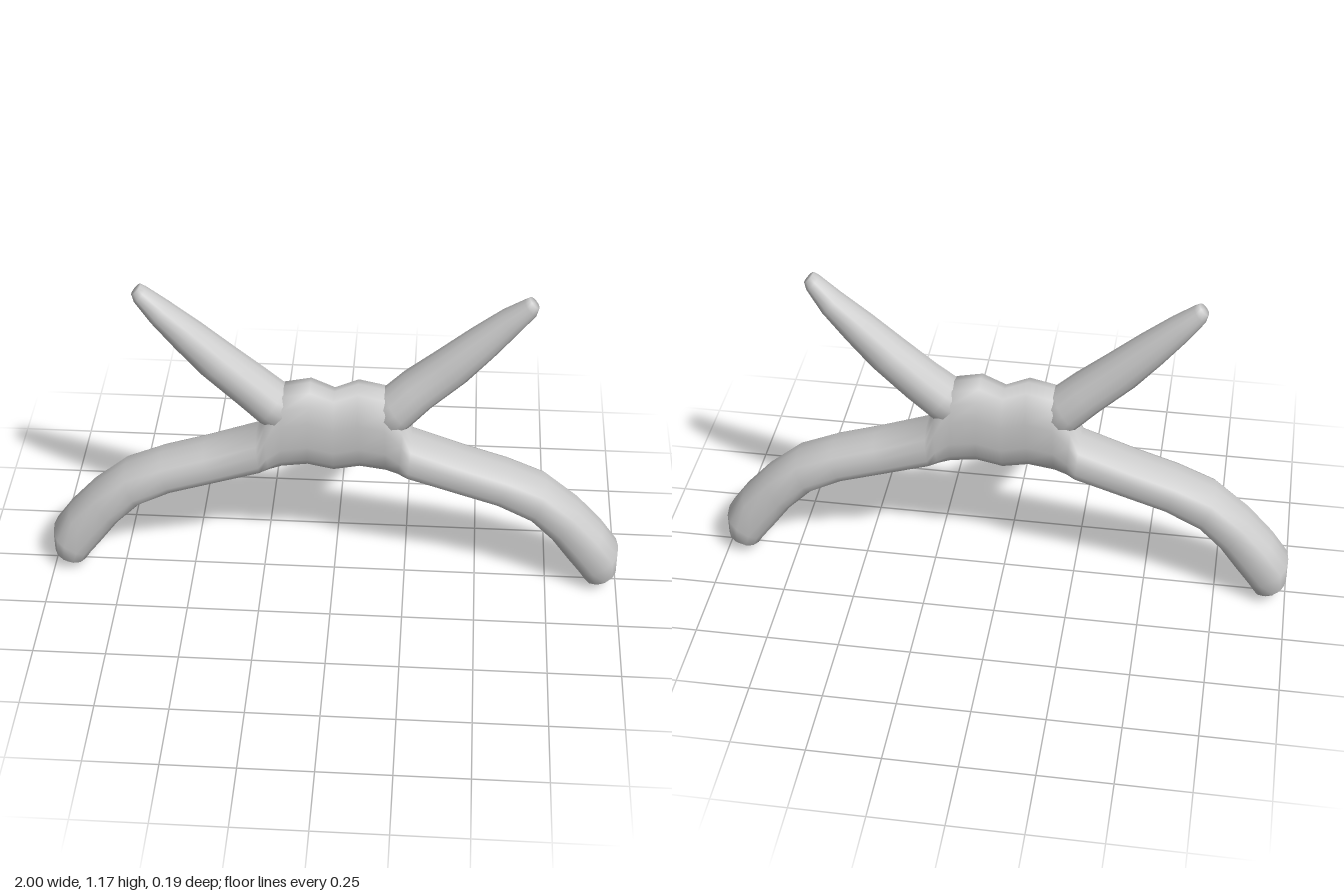
import * as THREE from 'three';

const SIDES = 14;
const material = new THREE.MeshStandardMaterial({ color: 0xcccccc });

// Loft through stations [ax, ay, bx, by, halfDepth, z]: a and b are opposite edge points of each rounded section.
function loft(stations, power) {
  const pos = [], index = [];
  const round = v => Math.sign(v) * Math.pow(Math.abs(v), power);
  for (const [ax, ay, bx, by, depth, z = 0] of stations) {
    for (let j = 0; j < SIDES; j++) {
      const t = (j / SIDES) * Math.PI * 2;
      const c = round(Math.cos(t)) / 2, s = round(Math.sin(t));
      pos.push((ax + bx) / 2 + (ax - bx) * c, (ay + by) / 2 + (ay - by) * c, z + depth * s);
    }
  }
  const n = stations.length;
  for (let i = 0; i < n - 1; i++) {
    for (let j = 0; j < SIDES; j++) {
      const a = i * SIDES + j, b = i * SIDES + (j + 1) % SIDES;
      index.push(a, b, a + SIDES, b, b + SIDES, a + SIDES);
    }
  }
  // End caps
  for (const [row, flip] of [[0, true], [n - 1, false]]) {
    const [ax, ay, bx, by, , z = 0] = stations[row];
    const centre = pos.length / 3;
    pos.push((ax + bx) / 2, (ay + by) / 2, z);
    for (let j = 0; j < SIDES; j++) {
      const a = row * SIDES + j, b = row * SIDES + (j + 1) % SIDES;
      index.push(centre, flip ? b : a, flip ? a : b);
    }
  }
  const g = new THREE.BufferGeometry();
  g.setAttribute('position', new THREE.Float32BufferAttribute(pos, 3));
  g.setIndex(index);
  g.computeVertexNormals();
  return g;
}

function addMesh(group, name, geometry) {
  const mesh = new THREE.Mesh(geometry, material);
  mesh.name = name;
  group.add(mesh);
}

export function createModel() {
  const group = new THREE.Group();
  group.name = 'branchedArch';

  // Arch: swollen hub in the middle running out into a curved leg on each side
  const half = [
    [0.08, 0.81, 0.09, 0.488, 0.09],
    [0.17, 0.79, 0.18, 0.475, 0.09],
    [0.235, 0.70, 0.22, 0.462, 0.09],
    [0.265, 0.61, 0.25, 0.45, 0.092],
    [0.45, 0.54, 0.41, 0.4, 0.093],
    [0.6, 0.49, 0.56, 0.352, 0.094],
    [0.73, 0.435, 0.68, 0.288, 0.095],
    [0.85, 0.335, 0.76, 0.205, 0.095],
    [0.94, 0.235, 0.82, 0.12, 0.095],
    [1.0, 0.15, 0.865, 0.06, 0.095],
    [1.0, 0.07, 0.885, 0.03, 0.088],
    [0.98, 0.03, 0.91, 0.008, 0.055],
    [0.955, 0.008, 0.93, 0, 0.025],
  ];
  const mirrored = half.map(([ax, ay, bx, by, d]) => [-ax, ay, -bx, by, d]).reverse();
  addMesh(group, 'archWithLegs', loft([...mirrored, [0, 0.775, 0, 0.468, 0.085], ...half], 0.8));

  // Tapering horns rising outward from the hub
  const horn = [
    [0.09, 0.73, 0.2, 0.6, 0.08],
    [0.17, 0.79, 0.262, 0.665, 0.085],
    [0.23, 0.845, 0.33, 0.735, 0.08],
    [0.33, 0.93, 0.445, 0.845, 0.071],
    [0.44, 1.025, 0.53, 0.945, 0.061],
    [0.545, 1.11, 0.605, 1.04, 0.049],
    [0.615, 1.163, 0.657, 1.115, 0.034],
    [0.632, 1.175, 0.664, 1.14, 0.022],
  ];
  const horns = { leftHorn: -0.012, rightHorn: 0.003 };
  for (const [name, shift] of Object.entries(horns)) {
    const stations = horn.map(([ax, ay, bx, by, d], i) => {
      const z = i > 1 && i < 6 ? shift : 0;
      // Edges swap on the mirrored side so faces keep pointing outward
      return name === 'leftHorn' ? [ax, ay, bx, by, d, z] : [-bx, by, -ax, ay, d, z];
    });
    addMesh(group, name, loft(stations, 0.95));
  }
  return group;
}
